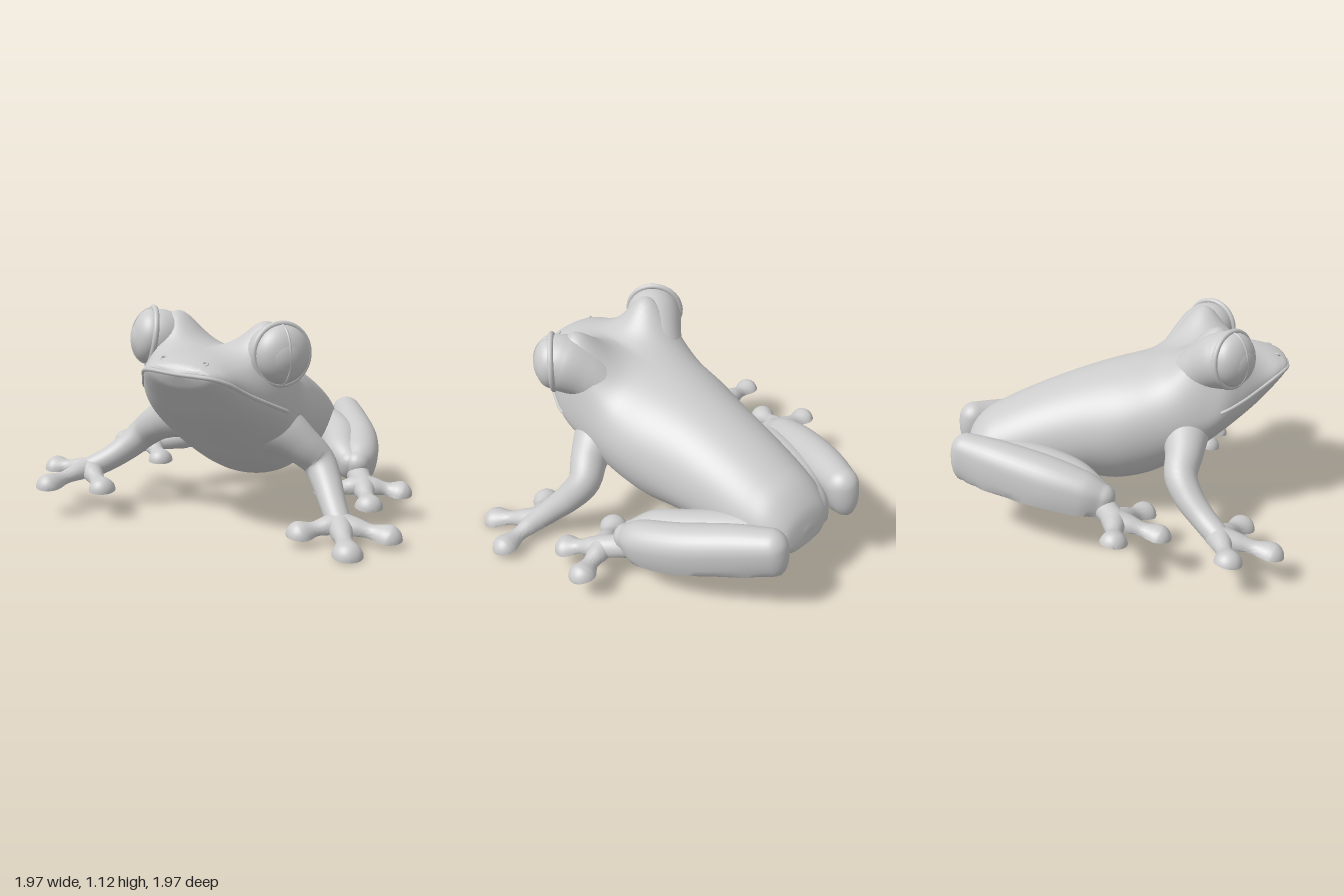
import * as THREE from 'three';
import { toCreasedNormals } from 'three/addons/utils/BufferGeometryUtils.js';

const material = new THREE.MeshStandardMaterial({ color: 0xcccccc });
const V = (x, y, z) => new THREE.Vector3(x, y, z);
const SIDES = 32;

function addMesh(parent, name, geometry) {
  const mesh = new THREE.Mesh(geometry, material);
  mesh.name = name;
  parent.add(mesh);
  return mesh;
}

// Skins closed rings of points; everything is cut flat at the ground
function skin(rings) {
  const pos = [], index = [], n = rings[0].length;
  rings.forEach((ring, i) => ring.forEach((p, j) => {
    pos.push(p.x, Math.max(p.y, 0), p.z);
    if (i === rings.length - 1) return;
    const a = i * n + j, b = i * n + (j + 1) % n;
    index.push(a, b, a + n, b, b + n, a + n);
  }));
  const geo = new THREE.BufferGeometry();
  geo.setAttribute('position', new THREE.Float32BufferAttribute(pos, 3));
  geo.setIndex(index);
  return toCreasedNormals(geo, 0.8);
}

// Round-ended limb through points [x, y, z, radius]; drop stretches the underside down
function limb(points, drop = 1, segments = 28, capSteps = 8) {
  const path = new THREE.CatmullRomCurve3(points.map(p => V(p[0], p[1], p[2])));
  const radii = new THREE.CatmullRomCurve3(points.map(p => V(p[3], 0, 0)), false, 'catmullrom');
  const rings = [];
  const addRing = (t, shift, scale) => {
    const T = path.getTangent(t);
    const N = V(0, 1, 0).cross(T).normalize();
    const B = T.clone().cross(N), r = radii.getPoint(t).x;
    const c = path.getPoint(t).addScaledVector(T, shift * r);
    rings.push(Array.from({ length: SIDES }, (_, j) => {
      const a = j / SIDES * Math.PI * 2, sin = Math.sin(a);
      return c.clone().addScaledVector(N, Math.cos(a) * r * scale)
        .addScaledVector(B, sin * r * scale * (sin < 0 ? drop : 1));
    }));
  };
  for (let k = 0; k < capSteps; k++) {
    const a = k / capSteps * Math.PI / 2;
    addRing(0, -Math.cos(a), Math.sin(a));
  }
  for (let i = 0; i <= segments; i++) addRing(i / segments, 0, 1);
  for (let k = capSteps - 1; k >= 0; k--) {
    const a = k / capSteps * Math.PI / 2;
    addRing(1, Math.cos(a), Math.sin(a));
  }
  return skin(rings);
}

// Body frame: forward along the spine, side towards the frog's left
const FORWARD = V(-0.51, 0, 0.86), SIDE = V(0.86, 0, 0.51);
const place = (s, side, y) =>
  V(0.25, y, -0.215).addScaledVector(FORWARD, s).addScaledVector(SIDE, side);

// Stations from rump to snout: [along spine, top, widest height, bottom, half width]
const STATIONS = [
  [-0.68, 0.08, 0.08, 0.08, 0], [-0.665, 0.18, 0.08, -0.02, 0.15], [-0.6, 0.28, 0.1, -0.05, 0.21],
  [-0.5, 0.355, 0.12, -0.05, 0.25], [-0.3, 0.475, 0.2, -0.03, 0.285], [-0.05, 0.6, 0.28, 0, 0.33],
  [0.15, 0.68, 0.36, 0.0, 0.37], [0.33, 0.735, 0.42, 0.06, 0.385], [0.52, 0.79, 0.5, 0.2, 0.39],
  [0.62, 0.81, 0.55, 0.3, 0.385], [0.71, 0.825, 0.6, 0.39, 0.345], [0.82, 0.835, 0.67, 0.5, 0.275],
  [0.91, 0.825, 0.735, 0.62, 0.22], [0.965, 0.805, 0.765, 0.7, 0.155], [0.99, 0.77, 0.77, 0.77, 0],
];
const heights = new THREE.CatmullRomCurve3(STATIONS.map(s => V(s[0], s[1], s[2])));
const widths = new THREE.CatmullRomCurve3(STATIONS.map(s => V(s[0], s[3], s[4])));

function bodyPoint(t, angle) {
  const h = heights.getPoint(t), w = widths.getPoint(t);
  const sin = Math.sin(angle), side = Math.cos(angle) * w.z;
  const rise = sin > 0 ? h.y - h.z : h.z - w.y;
  // Brows swell up smoothly behind the eyes
  const away = (h.x - 0.53) ** 2 + (Math.abs(side) - 0.275) ** 2;
  const brow = 0.23 * Math.exp(-away / 0.026) * Math.min(1, Math.max(0, sin * 1.7));
  return place(h.x, side, h.z + sin * rise + brow);
}

function buildBody(frog) {
  const rings = [];
  for (let i = 0; i <= 110; i++) {
    rings.push(Array.from({ length: 96 }, (_, j) => bodyPoint(i / 110, j / 96 * Math.PI * 2)));
  }
  addMesh(frog, 'body', skin(rings));

  // Lip line follows the widest edge of the head
  const lip = [];
  for (let i = 0; i <= 14; i++) lip.push(bodyPoint(0.63 + 0.355 * i / 14, 0));
  for (let i = 14; i >= 0; i--) lip.push(bodyPoint(0.63 + 0.355 * i / 14, Math.PI));
  addMesh(frog, 'mouth', new THREE.TubeGeometry(new THREE.CatmullRomCurve3(lip), 100, 0.01, 8));

  for (const a of [1.05, Math.PI - 1.05]) {
    const nostril = addMesh(frog, 'nostril', new THREE.TorusGeometry(0.012, 0.005, 8, 16));
    nostril.position.copy(bodyPoint(0.86, a));
    nostril.rotation.x = -1.1;
  }
}

// Tapered socket, eyeball, lid rim and upright pupil
function buildEye(frog, side) {
  const socket = [[0.44, 0.2, 0.66, 0.12], [0.51, 0.25, 0.74, 0.135], [0.565, 0.295, 0.79, 0.147], [0.595, 0.32, 0.81, 0.147]]
    .map(([s, lat, y, r]) => [...place(s, side * lat, y).toArray(), r]);
  addMesh(frog, 'eyeSocket', limb(socket));

  const eye = new THREE.Group();
  eye.name = 'eye';
  eye.position.copy(place(0.625, side * 0.36, 0.825));
  const gaze = SIDE.clone().multiplyScalar(side * 0.77).addScaledVector(FORWARD, 0.64);
  gaze.y = 0.16;
  eye.quaternion.setFromUnitVectors(V(0, 0, 1), gaze.normalize());
  addMesh(eye, 'eyeball', new THREE.SphereGeometry(0.138, 32, 24)).scale.z = 0.66;
  addMesh(eye, 'eyelid', new THREE.TorusGeometry(0.142, 0.015, 12, 48)).position.z = -0.005;
  const slit = new THREE.TorusGeometry(0.137, 0.006, 8, 32, Math.PI);
  slit.rotateZ(-Math.PI / 2).rotateY(-Math.PI / 2);
  addMesh(eye, 'pupil', slit).scale.z = 0.67;
  frog.add(eye);
}

// Three toes with round pads spreading from a palm
function buildFoot(frog, name, [px, pz], tips, pad) {
  const foot = new THREE.Group();
  foot.name = name;
  for (const [x, z] of tips) {
    const along = (k, y, r) => [px + (x - px) * k, y, pz + (z - pz) * k, r];
    addMesh(foot, 'toe', limb([along(0, 0.025, 0.065), along(0.35, 0.022, 0.052),
      along(0.65, 0.015, 0.041), along(0.9, 0.002, pad * 0.9), along(1, -0.004, pad)]));
  }
  frog.add(foot);
}

export function createModel() {
  const model = new THREE.Group();
  model.name = 'frog';
  // The frog sits on a slope that falls towards the front
  const frog = new THREE.Group();
  frog.name = 'frogOnSlope';
  frog.rotation.x = 0.175;
  frog.position.y = 0.178;
  model.add(frog);

  buildBody(frog);
  for (const side of [1, -1]) buildEye(frog, side);

  // Arms
  addMesh(frog, 'leftArm', limb([[0.1, 0.44, 0.27, 0.17], [0.25, 0.4, 0.33, 0.135], [0.37, 0.32, 0.365, 0.1],
    [0.46, 0.235, 0.38, 0.085], [0.49, 0.155, 0.47, 0.075], [0.505, 0.09, 0.57, 0.065], [0.52, 0.03, 0.67, 0.06]]));
  buildFoot(frog, 'leftHand', [0.52, 0.67], [[0.33, 0.72], [0.51, 0.935], [0.73, 0.775]], 0.073);
  addMesh(frog, 'rightArm', limb([[-0.05, 0.43, 0.12, 0.17], [-0.2, 0.39, 0.05, 0.135], [-0.33, 0.31, -0.04, 0.1],
    [-0.415, 0.225, -0.11, 0.085], [-0.5, 0.15, -0.11, 0.075], [-0.6, 0.085, -0.09, 0.065], [-0.72, 0.03, -0.07, 0.06]]));
  buildFoot(frog, 'rightHand', [-0.72, -0.07], [[-0.9, -0.155], [-0.92, 0.1], [-0.64, 0.155]], 0.071);

  // Folded hind legs: thigh against the body, shank outside it, both resting on the ground
  addMesh(frog, 'leftThigh', limb([[0.58, 0.08, -0.61, 0.13], [0.66, 0.1, -0.48, 0.12],
    [0.69, 0.115, -0.25, 0.11], [0.67, 0.115, -0.06, 0.09], [0.69, 0.1, 0.06, 0.06]], 1.7));
  addMesh(frog, 'leftShank', limb([[0.81, 0.145, -0.665, 0.085], [0.802, 0.135, -0.5, 0.1],
    [0.795, 0.12, -0.22, 0.105], [0.755, 0.11, 0, 0.095], [0.725, 0.1, 0.08, 0.065]], 2));
  addMesh(frog, 'leftAnkle', limb([[0.73, 0.06, 0.02, 0.07], [0.73, 0.04, 0.12, 0.06], [0.73, 0.03, 0.22, 0.06]]));
  buildFoot(frog, 'leftFoot', [0.73, 0.22], [[0.54, 0.24], [0.72, 0.42], [0.91, 0.265]], 0.073);

  addMesh(frog, 'rightThigh', limb([[0.41, 0.09, -0.74, 0.13], [0.27, 0.1, -0.7, 0.125],
    [0.1, 0.115, -0.6, 0.115], [-0.06, 0.115, -0.51, 0.095], [-0.22, 0.1, -0.46, 0.06]], 1.7));
  addMesh(frog, 'rightShank', limb([[0.335, 0.165, -0.93, 0.085], [0.18, 0.15, -0.825, 0.107],
    [-0.04, 0.125, -0.66, 0.115], [-0.2, 0.11, -0.53, 0.095], [-0.265, 0.1, -0.47, 0.065]], 2.1));
  addMesh(frog, 'rightAnkle', limb([[-0.2, 0.06, -0.46, 0.07], [-0.3, 0.04, -0.46, 0.06], [-0.39, 0.03, -0.47, 0.06]]));
  buildFoot(frog, 'rightFoot', [-0.39, -0.47], [[-0.54, -0.57], [-0.57, -0.33], [-0.335, -0.252]], 0.069);

  return model;
}
